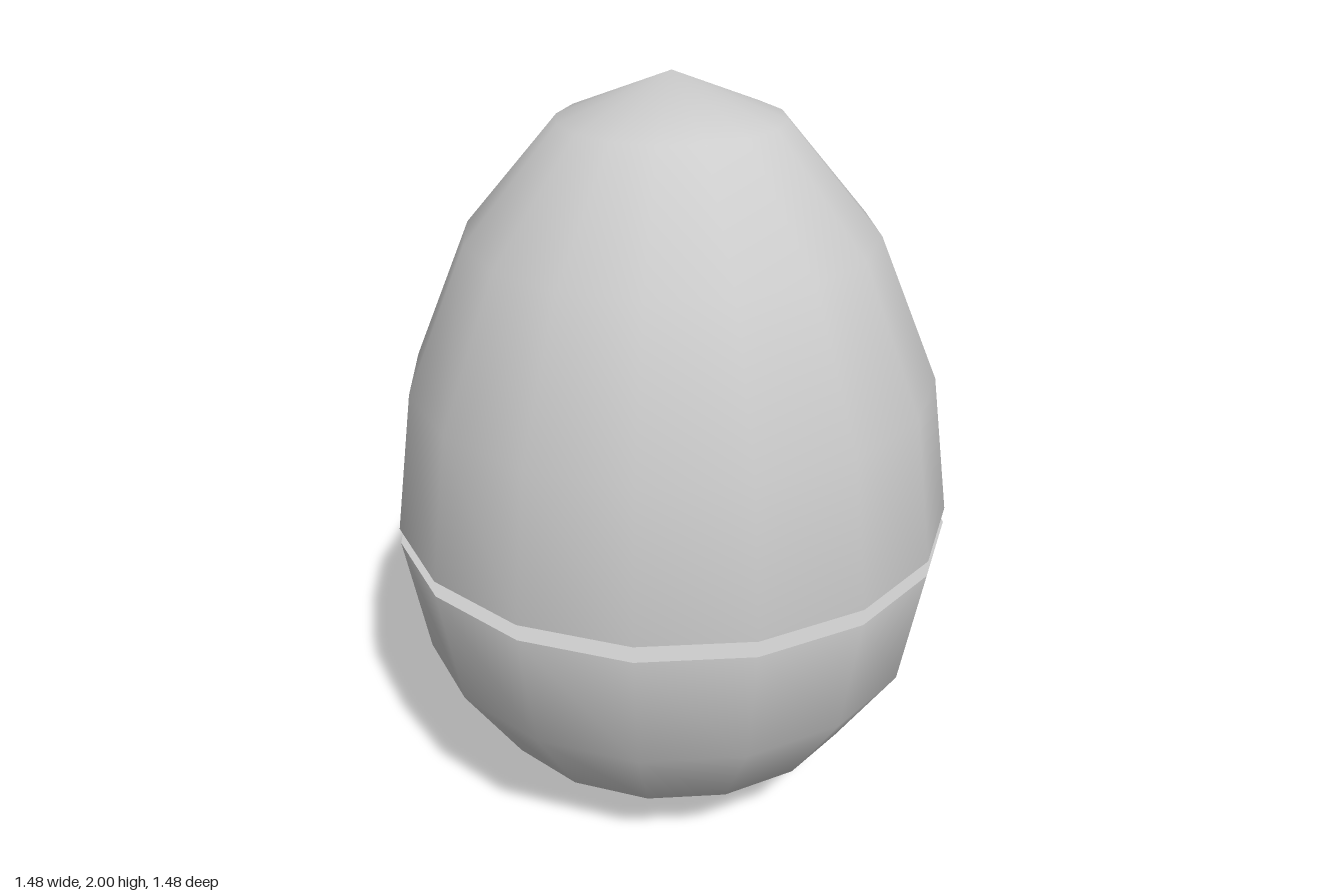
import * as THREE from 'three';

const SIDES = 16;
const RADIUS = 0.742;

export function createModel() {
  const model = new THREE.Group();
  model.name = 'splitEgg';
  const shellGrey = new THREE.MeshStandardMaterial({ color: 0xcccccc });
  shellGrey.name = 'shell grey';

  const add = (name, geometry, y = 0) => {
    const mesh = new THREE.Mesh(geometry, shellGrey);
    mesh.name = name;
    mesh.position.y = y;
    model.add(mesh);
  };

  // Half shell: a hemisphere whose rings are moved to the given heights
  const halfShell = (heights, seamY, thetaStart) => {
    const geometry = new THREE.SphereGeometry(RADIUS, SIDES, 4, 0, Math.PI * 2, thetaStart, Math.PI / 2);
    const { position, normal } = geometry.attributes;
    const tall = Math.max(...heights.map((y) => Math.abs(y - seamY)));
    const n = new THREE.Vector3();
    for (let i = 0; i < position.count; i++) {
      position.setY(i, heights[Math.floor(i / (SIDES + 1))]);
      n.fromBufferAttribute(position, i);
      n.set(n.x / RADIUS ** 2, (n.y - seamY) / tall ** 2, n.z / RADIUS ** 2).normalize();
      normal.setXYZ(i, n.x, n.y, n.z);
    }
    return geometry;
  };

  // Flat disc closing a half at the seam
  const disc = (facing) => new THREE.CircleGeometry(RADIUS, SIDES).rotateX(-facing * Math.PI / 2);

  const topSeam = 0.853;
  const bottomSeam = 0.81;
  add('upperShell', halfShell([2, 1.888, 1.607, 1.232, topSeam], topSeam, 0));
  add('upperShellFloor', disc(-1), topSeam);
  add('lowerShell', halfShell([bottomSeam, 0.475, 0.222, 0.062, 0], bottomSeam, Math.PI / 2));
  add('lowerShellLid', disc(1), bottomSeam);

  // Short peg joining the two halves
  add('connectingPeg', new THREE.CylinderGeometry(0.078, 0.078, topSeam - bottomSeam, SIDES, 1, true),
    (topSeam + bottomSeam) / 2);

  return model;
}
